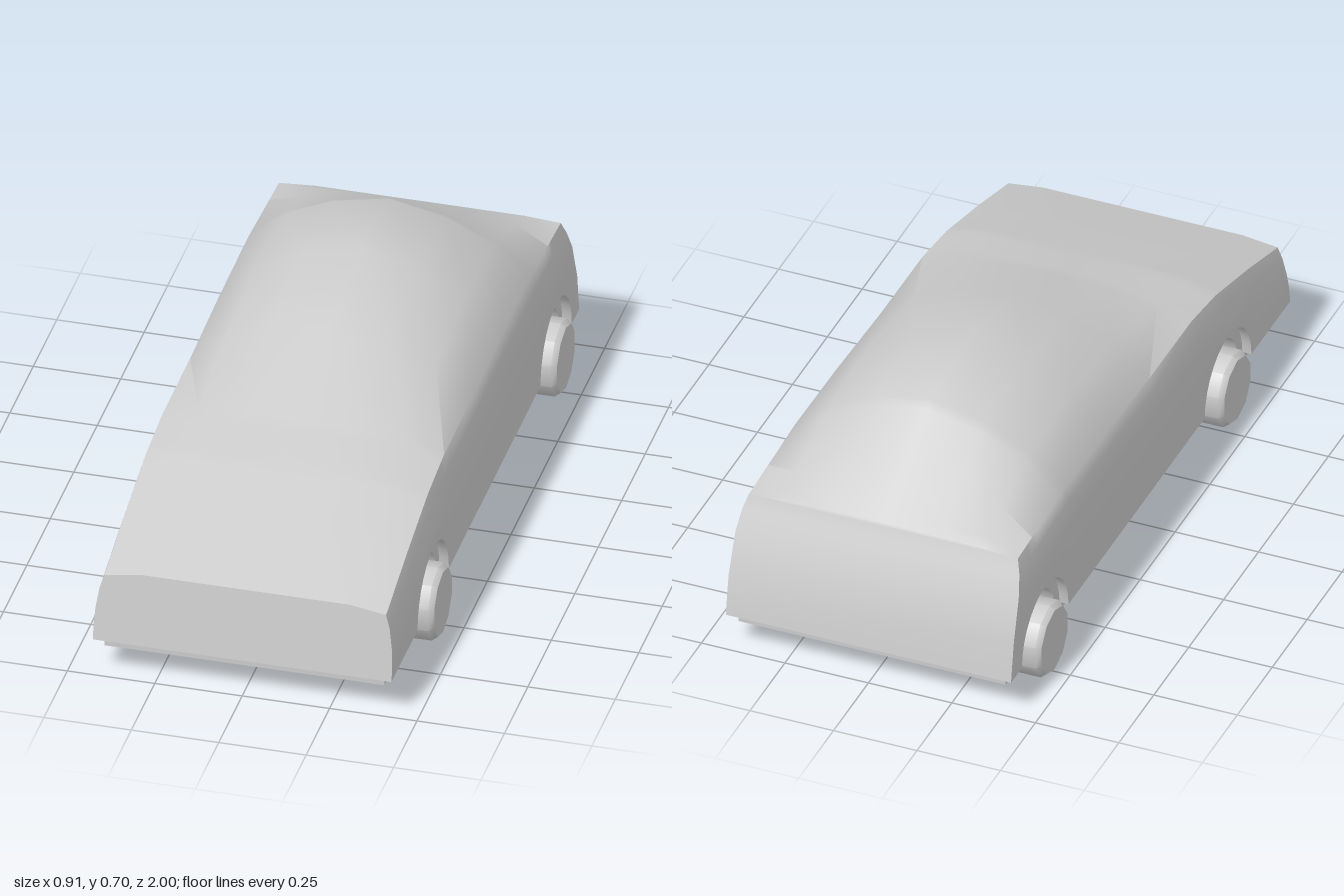
import * as THREE from 'three';
import { toCreasedNormals } from 'three/addons/utils/BufferGeometryUtils.js';

const FLOOR = 0.115, ARCH = 0.167, WELL = 0.13, AXLES = [0.555, -0.755];
const grey = new THREE.MeshStandardMaterial({ color: 0xcccccc });
const thin = new THREE.MeshStandardMaterial({ color: 0xcccccc, side: THREE.DoubleSide });

// Body stations: z, then heights at x = 0, 0.165, 0.30 and at the shoulder
const STATIONS = [
  [-0.89, 0.467, 0.467, 0.467, 0.458],
  [-0.56, 0.675, 0.64, 0.575, 0.48],
  [-0.26, 0.698, 0.656, 0.588, 0.475],
  [0.05, 0.63, 0.605, 0.55, 0.46],
  [0.35, 0.51, 0.502, 0.488, 0.458],
  [0.52, 0.465, 0.465, 0.46, 0.435],
  [0.75, 0.395, 0.395, 0.392, 0.375],
  [0.97, 0.325, 0.325, 0.325, 0.31],
];
// End profiles: height, z
const NOSE = [[FLOOR, 1], [0.325, 0.965]];
const TAIL = [[FLOOR, -1], [0.22, -0.985], [0.33, -0.95], [0.465, -0.89]];

// Linear lookup of column k in a table sorted by its first column
function lookup(table, t, k) {
  if (t <= table[0][0]) return table[0][k];
  for (let i = 1; i < table.length; i++) {
    const a = table[i - 1], b = table[i];
    if (t <= b[0]) return a[k] + (b[k] - a[k]) * (t - a[0]) / (b[0] - a[0]);
  }
  return table[table.length - 1][k];
}

// Lower edge of the body side, rising over the wheels
function lowerEdge(z) {
  let y = FLOOR;
  for (const c of AXLES) y = Math.max(y, FLOOR + Math.sqrt(Math.max(0, ARCH * ARCH - (z - c) ** 2)));
  return y;
}

// One cross-section from the right sill over the roof to the left sill
function section(z) {
  const [c, m, o, s] = [1, 2, 3, 4].map((k) => lookup(STATIONS, z, k));
  const low = lowerEdge(z), waist = s - 0.1;
  const half = [
    [0.165, m], [0.3, o], [0.403, s], [0.415, s - 0.04], [0.424, waist],
    [0.427, (waist + low) / 2], [0.427, low], [0.395, low],
  ];
  const ring = [...half.map(([x, y]) => [-x, y]).reverse(), [0, c], ...half];
  return ring.map(([x, y]) => new THREE.Vector3(
    x, y, THREE.MathUtils.clamp(z, lookup(TAIL, y, 1), lookup(NOSE, y, 1))));
}

function bodyGeometry() {
  const zs = [-1, 1, ...STATIONS.map((s) => s[0])];
  for (const c of AXLES) for (let i = 0; i <= 14; i++) zs.push(c + ARCH * Math.cos(Math.PI * i / 14));
  const rings = zs.sort((a, b) => a - b).map(section);
  const n = rings[0].length, pos = [];
  const tri = (a, b, c) => {
    const area = b.clone().sub(a).cross(c.clone().sub(a)).length();
    if (area > 1e-8) for (const p of [a, b, c]) pos.push(p.x, p.y, p.z);
  };
  const quad = (a, b, c, d) => { tri(a, b, c); tri(a, c, d); };
  // Skin between neighbouring sections
  for (let s = 0; s < rings.length - 1; s++) {
    const A = rings[s], B = rings[s + 1];
    for (let i = 0; i < n - 1; i++) quad(A[i], B[i], B[i + 1], A[i + 1]);
  }
  // Nose and tail panels, in strips from side to side
  const F = rings[rings.length - 1], R = rings[0];
  for (let i = 1; i < (n - 1) / 2; i++) {
    const j = n - 1 - i;
    quad(F[i], F[j], F[j - 1], F[i + 1]);
    quad(R[j], R[i], R[i + 1], R[j - 1]);
  }
  const g = new THREE.BufferGeometry();
  g.setAttribute('position', new THREE.Float32BufferAttribute(pos, 3));
  return toCreasedNormals(g, 0.95);
}

// Floor plate with a notch for each wheel
function chassisGeometry() {
  const side = [[0.4, 0.975]];
  for (const c of AXLES) side.push([0.4, c + WELL], [0.3, c + WELL], [0.3, c - WELL], [0.4, c - WELL]);
  side.push([0.4, -0.975]);
  const outline = [...side, ...side.map(([x, z]) => [-x, z]).reverse()];
  const shape = new THREE.Shape(outline.map(([x, z]) => new THREE.Vector2(x, z)));
  return new THREE.ExtrudeGeometry(shape, { depth: 0.03, bevelEnabled: false }).rotateX(Math.PI / 2);
}

export function createModel() {
  const model = new THREE.Group();
  const add = (name, geometry, material, x = 0, y = 0, z = 0, parent = model) => {
    const mesh = new THREE.Mesh(geometry, material);
    mesh.name = name;
    mesh.position.set(x, y, z);
    parent.add(mesh);
    return mesh;
  };

  add('body', bodyGeometry(), grey);
  add('chassis', chassisGeometry(), grey, 0, FLOOR, 0);
  // Undersides of the bumpers
  const lip = new THREE.BoxGeometry(0.846, 0.008, 0.06);
  for (const s of [1, -1]) add(s > 0 ? 'frontLip' : 'rearLip', lip, grey, 0, FLOOR + 0.004, s * 0.967);

  // Ten-sided wheel with a bevelled outer edge, axis along x
  const profile = [[0, -0.0725], [0.11, -0.0725], [0.11, 0.0575], [0.098, 0.0725], [0, 0.0725]]
    .map(([r, h]) => new THREE.Vector2(r, h));
  const wheel = toCreasedNormals(
    new THREE.LatheGeometry(profile, 10, Math.PI / 2).rotateZ(-Math.PI / 2), 0.7);
  const rim = new THREE.RingGeometry(WELL, ARCH, 20, 1, 0, Math.PI).rotateY(Math.PI / 2);
  const liner = new THREE.CylinderGeometry(WELL, WELL, 0.1, 20, 1, true, 0, Math.PI).rotateZ(Math.PI / 2);
  const wall = new THREE.CircleGeometry(WELL, 20, 0, Math.PI).rotateY(Math.PI / 2);

  AXLES.forEach((z, i) => {
    for (const s of [1, -1]) {
      const corner = new THREE.Group();
      corner.name = (i ? 'rear' : 'front') + (s > 0 ? 'Left' : 'Right') + 'Corner';
      corner.position.z = z;
      model.add(corner);
      const w = add('wheel', wheel, grey, s * 0.3825, 0.11, 0, corner);
      if (s < 0) w.rotation.y = Math.PI;
      add('archRim', rim, thin, s * 0.4, FLOOR, 0, corner);
      add('archLiner', liner, thin, s * 0.35, FLOOR, 0, corner);
      add('archWall', wall, thin, s * 0.3, FLOOR, 0, corner);
    }
  });
  return model;
}
